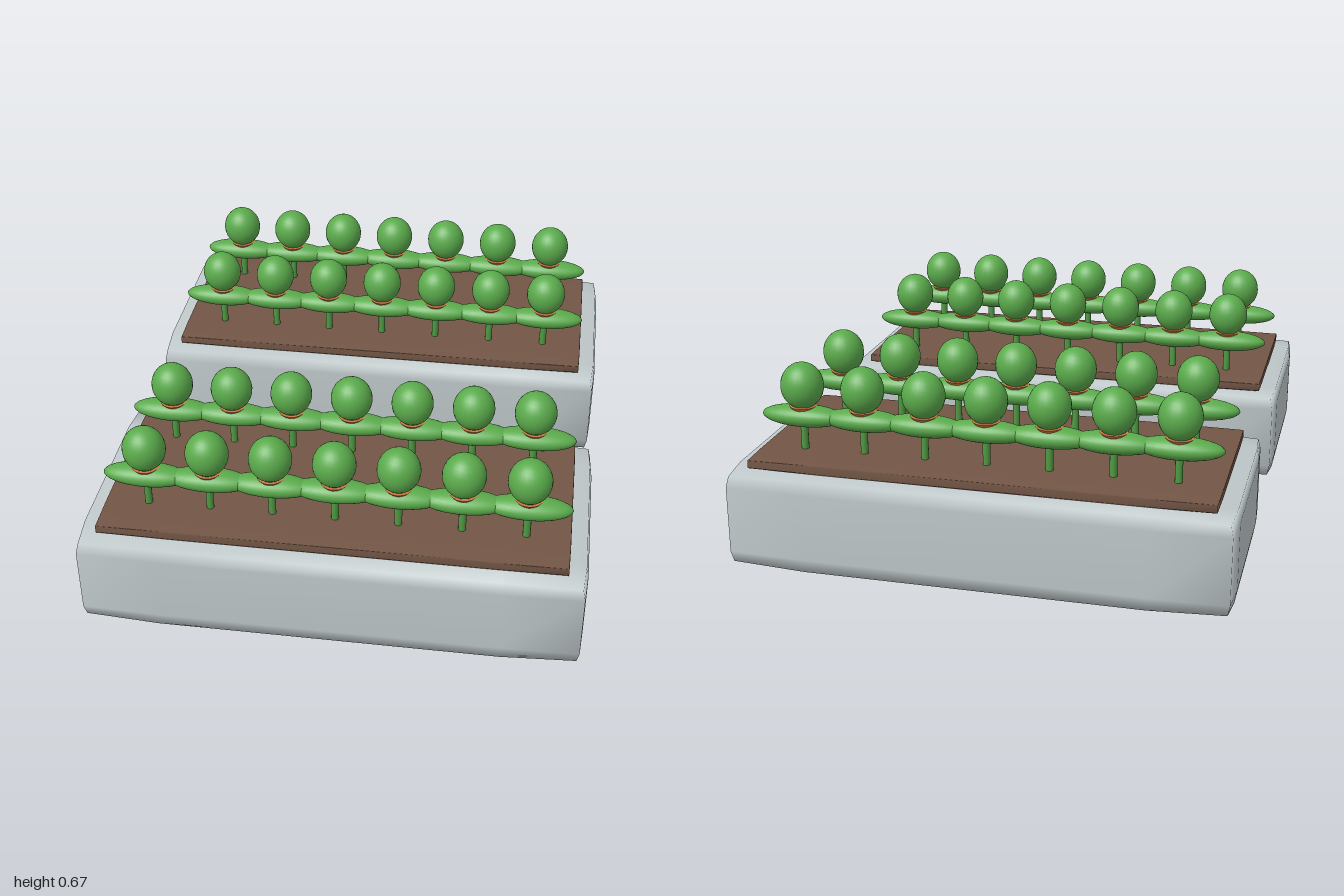
import * as THREE from 'three';
import { mergeVertices } from 'three/addons/utils/BufferGeometryUtils.js';

const mat = (name, color) => {
  const m = new THREE.MeshStandardMaterial({ color });
  m.name = name;
  return m;
};

// Smooth-shaded block: a 3x3x3 grid with wide border cells and slightly drawn-in edges.
function softBlock(w, h, d, pull) {
  const g = new THREE.BoxGeometry(1, 1, 1, 3, 3, 3);
  g.deleteAttribute('uv');
  g.deleteAttribute('normal');
  const p = g.attributes.position;
  const size = [w, h, d];
  for (let i = 0; i < p.count; i++) {
    const c = [p.getX(i), p.getY(i), p.getZ(i)];
    const outer = c.filter(v => Math.abs(v) > 0.4).length;
    const inset = [0, 0, 0.5, 1][outer] * pull;
    const q = c.map((v, k) => Math.sign(v) *
      (Math.abs(v) > 0.4 ? size[k] / 2 - inset : size[k] * 0.34));
    p.setXYZ(i, ...q);
  }
  const merged = mergeVertices(g, 1e-5);
  merged.computeVertexNormals();
  return merged;
}

export function createModel() {
  const model = new THREE.Group();
  model.name = 'planters';

  const concrete = mat('concrete', 0xc0c9cb);
  const soilMat = mat('soil', 0x735646);
  const leafMat = mat('leaf green', 0x5bab4c);
  const stemMat = mat('stem green', 0x4f9a43);
  const budMat = mat('orange', 0xcc7a42);

  const troughGeo = softBlock(1.7, 0.34, 0.8, 0.016);
  const soilGeo = softBlock(1.572, 0.035, 0.684, 0.003);
  const ball = new THREE.SphereGeometry(1, 24, 16);
  const stemGeo = new THREE.CylinderGeometry(0.013, 0.013, 0.14, 12);
  const budGeo = new THREE.ConeGeometry(0.047, 0.06, 16).rotateX(Math.PI);

  const add = (parent, name, geo, material, y, scale = [1, 1, 1]) => {
    const m = new THREE.Mesh(geo, material);
    m.name = name;
    m.position.y = y;
    m.scale.set(...scale);
    parent.add(m);
    return m;
  };

  // One plant: stem, spreading leaves, orange calyx and round crown
  function plant(x, z) {
    const g = new THREE.Group();
    g.name = 'plant';
    add(g, 'stem', stemGeo, stemMat, 0.435);
    add(g, 'leaves', ball, leafMat, 0.487, [0.147, 0.038, 0.052]);
    add(g, 'calyx', budGeo, budMat, 0.494);
    add(g, 'crown', ball, leafMat, 0.594, [0.073, 0.08, 0.07]);
    g.position.set(x, 0, z);
    return g;
  }

  // Two troughs, each with two rows of seven plants
  for (const side of [1, -1]) {
    const bed = new THREE.Group();
    bed.name = side > 0 ? 'frontPlanter' : 'backPlanter';
    bed.position.z = side * 0.6;
    add(bed, 'trough', troughGeo, concrete, 0.17);
    add(bed, 'soil', soilGeo, soilMat, 0.3535).position.z = -side * 0.004;
    for (const row of [0.187, -0.197])
      for (let i = -3; i <= 3; i++) bed.add(plant(i * 0.2127, side * row));
    model.add(bed);
  }
  return model;
}
